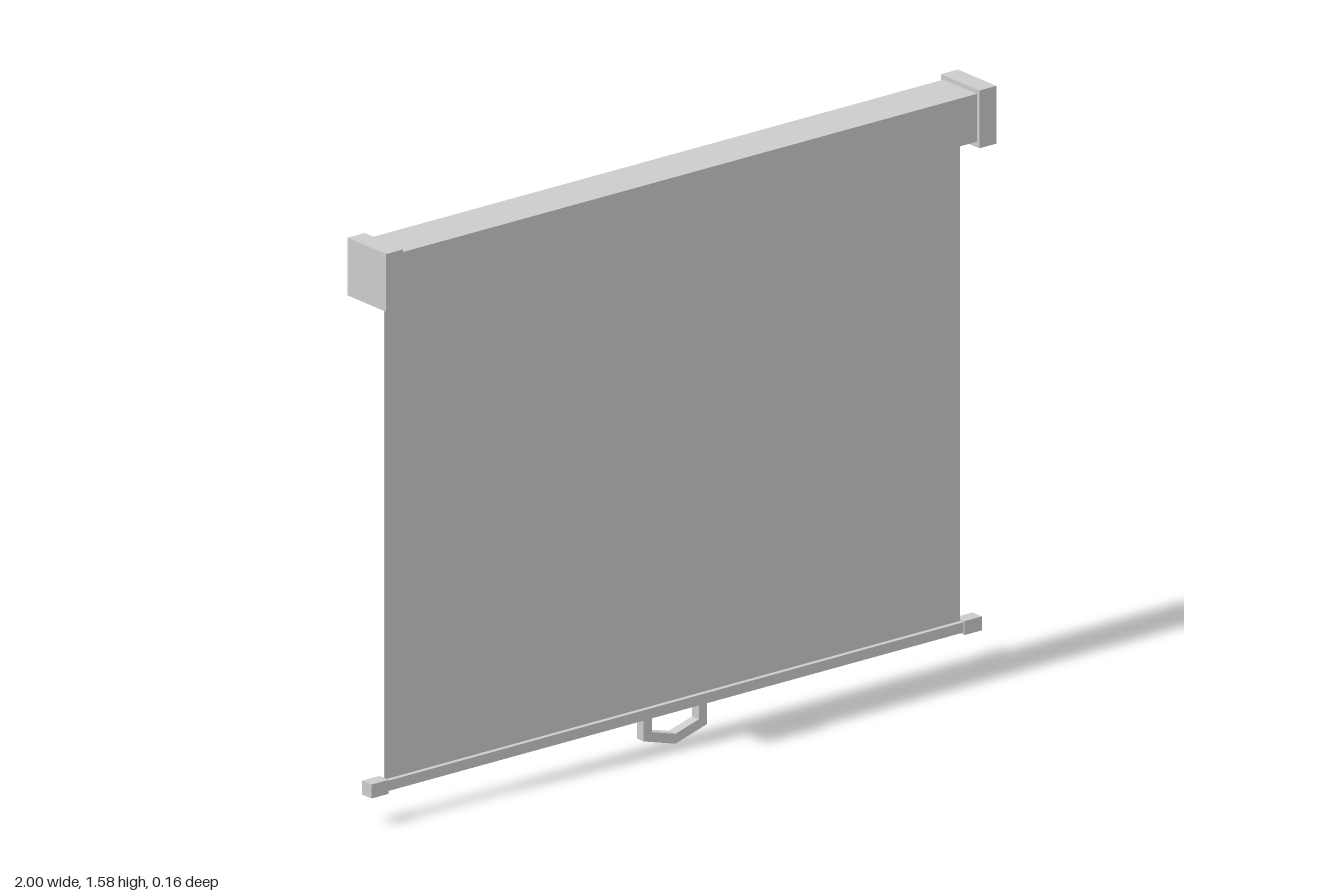
import * as THREE from 'three';

export function createModel() {
  const model = new THREE.Group();
  const material = new THREE.MeshStandardMaterial({ color: 0xcccccc, flatShading: true });

  const add = (name, geometry, x, y, z = 0) => {
    const mesh = new THREE.Mesh(geometry, material);
    mesh.name = name;
    mesh.position.set(x, y, z);
    model.add(mesh);
  };
  // Box spanning y0..y1, centred on z
  const box = (name, x, width, y0, y1, depth) =>
    add(name, new THREE.BoxGeometry(width, y1 - y0, depth), x, (y0 + y1) / 2);

  // Roller housing, hanging screen and weighted bottom bar
  box('housing', 0, 1.888, 1.435, 1.565, 0.136);
  box('screen', 0, 1.886, 0.1, 1.45, 0.004);
  box('bottomBar', 0, 1.888, 0.087, 0.115, 0.03);

  // End caps on the housing and the bar
  for (const [side, s] of [['left', 1], ['right', -1]]) {
    box(side + 'HousingCap', s * 0.972, 0.056, 1.42, 1.577, 0.157);
    box(side + 'BarCap', s * 0.972, 0.056, 0.081, 0.119, 0.038);
  }

  // Pull handle: a bent strip with a shallow V grip
  const handle = new THREE.Shape([
    [-0.104, 0.09], [-0.104, 0.03], [0, 0], [0.104, 0.03], [0.104, 0.09],
    [0.077, 0.09], [0.077, 0.049], [0, 0.027], [-0.077, 0.049], [-0.077, 0.09],
  ].map(([x, y]) => new THREE.Vector2(x, y)));
  add('pullHandle', new THREE.ExtrudeGeometry(handle, { depth: 0.028, bevelEnabled: false }), 0, 0, -0.014);

  return model;
}
